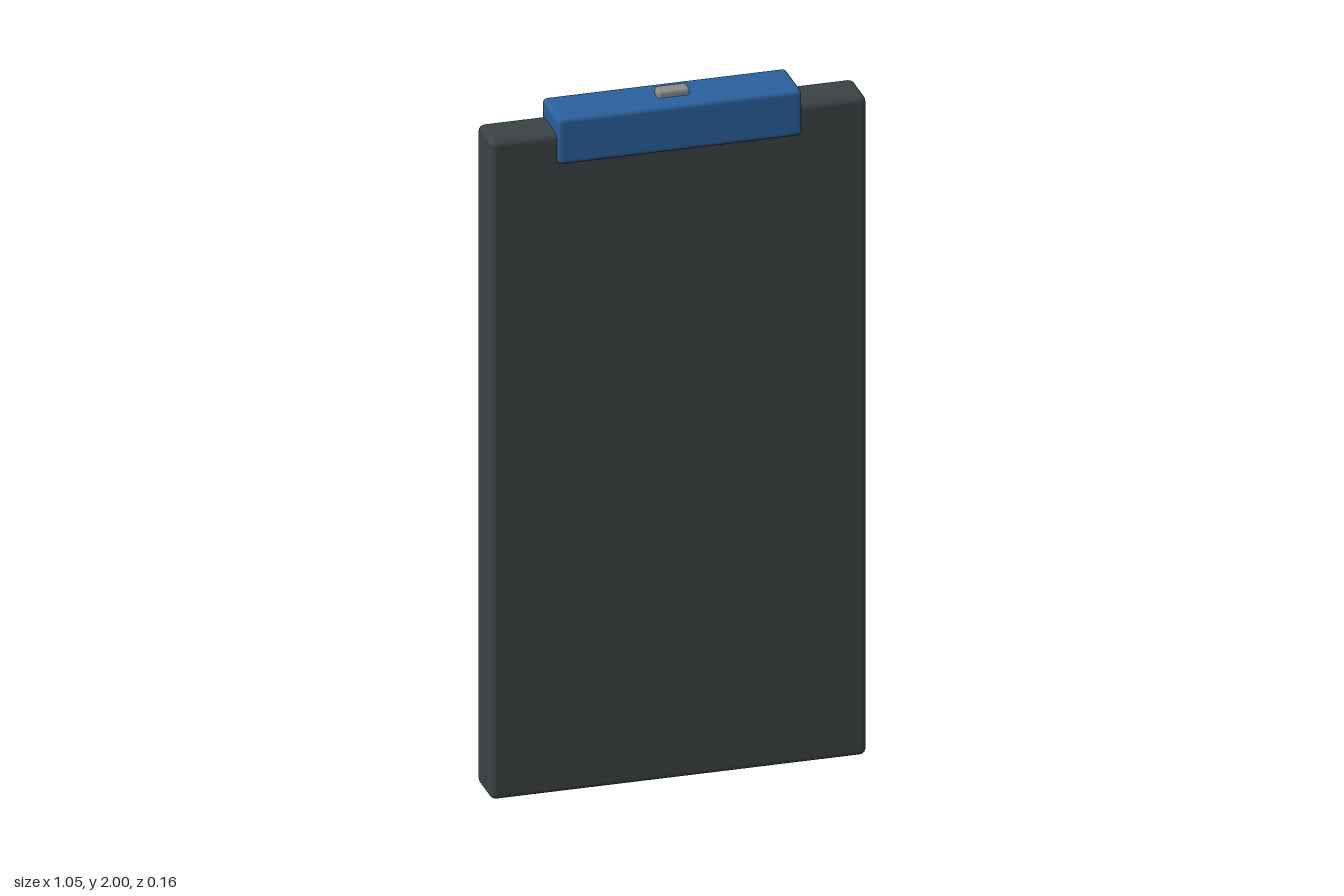
import * as THREE from 'three';
import { RoundedBoxGeometry } from 'three/addons/geometries/RoundedBoxGeometry.js';

// Soft-edged box spanning y0..y1, centred on x and z
function softBox(name, width, y0, y1, depth, radius, color) {
  const mesh = new THREE.Mesh(
    new RoundedBoxGeometry(width, y1 - y0, depth, 2, radius),
    new THREE.MeshStandardMaterial({ color })
  );
  mesh.name = name;
  mesh.position.y = (y0 + y1) / 2;
  return mesh;
}

export function createModel() {
  const group = new THREE.Group();
  group.name = 'clipboard';
  group.add(
    // Thick dark slab
    softBox('board', 1.05, 0, 1.932, 0.132, 0.018, 0x3b4244),
    // Blue clamp straddling the top edge
    softBox('clip', 0.682, 1.845, 1.98, 0.156, 0.014, 0x2a609c),
    // Small metal tab on top of the clamp
    softBox('tab', 0.09, 1.955, 2, 0.042, 0.01, 0x8a8d8c)
  );
  return group;
}
